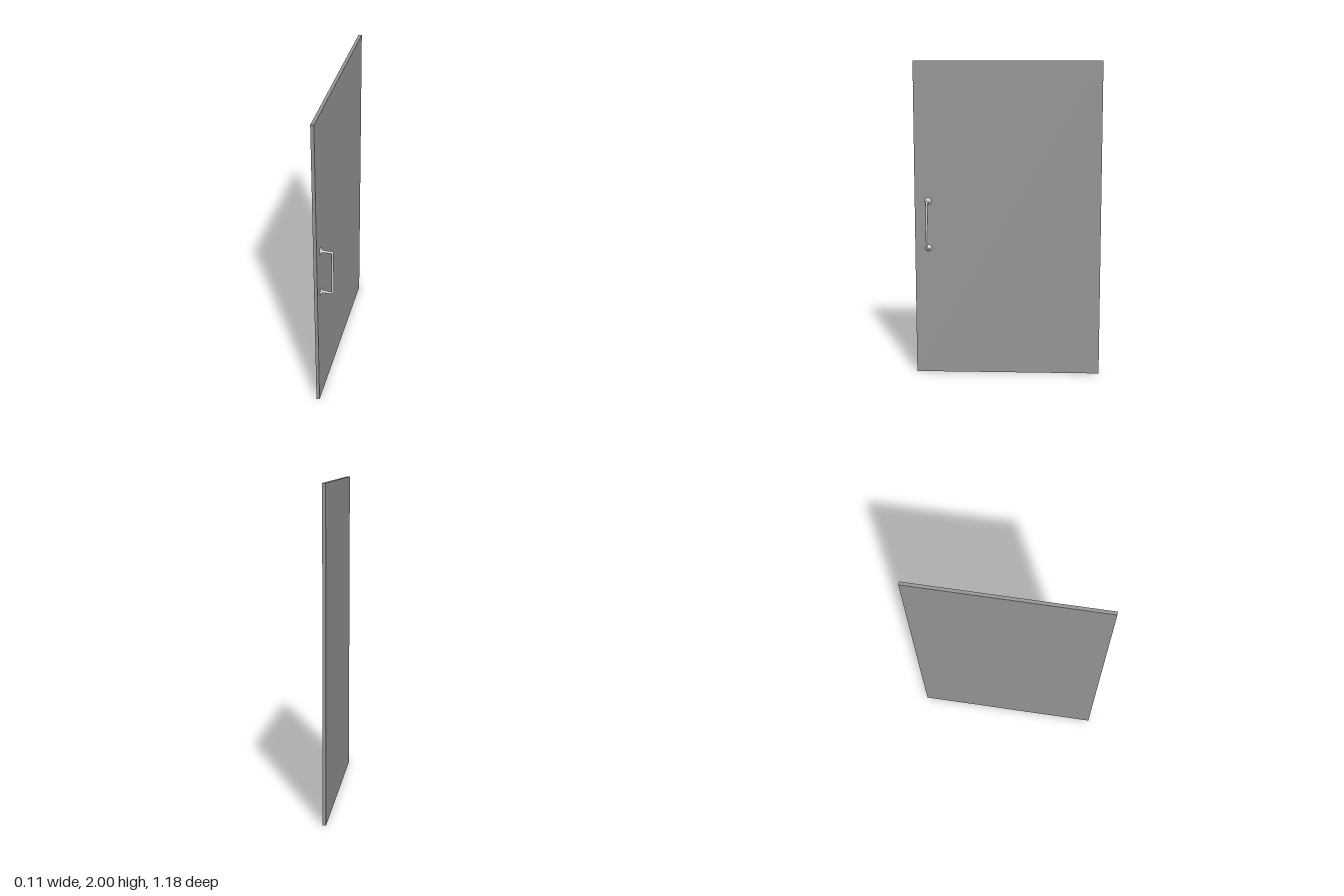
import * as THREE from 'three';

const panelMaterial = new THREE.MeshStandardMaterial({ color: 0x979797 });
const handleMaterial = new THREE.MeshStandardMaterial({ color: 0xc0c0c0 });

function addMesh(parent, name, geometry, material) {
  const mesh = new THREE.Mesh(geometry, material);
  mesh.name = name;
  parent.add(mesh);
  return mesh;
}

// U-shaped pull: two straight arms, an upright grip and tight rounded corners
function handlePath(face, reach, bottom, top, bend) {
  const p = (x, y) => new THREE.Vector3(x, y, 0);
  const path = new THREE.CurvePath();
  path.add(new THREE.LineCurve3(p(face, bottom), p(reach - bend, bottom)));
  path.add(new THREE.QuadraticBezierCurve3(p(reach - bend, bottom), p(reach, bottom), p(reach, bottom + bend)));
  path.add(new THREE.LineCurve3(p(reach, bottom + bend), p(reach, top - bend)));
  path.add(new THREE.QuadraticBezierCurve3(p(reach, top - bend), p(reach, top), p(reach - bend, top)));
  path.add(new THREE.LineCurve3(p(reach - bend, top), p(face, top)));
  return path;
}

export function createModel() {
  const model = new THREE.Group();
  model.name = 'door';

  // The whole door stands very slightly ajar
  const leaf = new THREE.Group();
  leaf.name = 'doorLeaf';
  leaf.position.x = -0.04;
  leaf.rotation.y = 0.005;
  model.add(leaf);

  const thickness = 0.02, face = thickness / 2;
  const panel = addMesh(leaf, 'doorPanel', new THREE.BoxGeometry(thickness, 2, 1.18), panelMaterial);
  panel.position.y = 1;

  // Pull handle near the front edge
  const handle = new THREE.Group();
  handle.name = 'pullHandle';
  handle.position.z = 0.506;
  leaf.add(handle);

  const bottom = 0.82, top = 1.12;
  addMesh(handle, 'handleBar',
    new THREE.TubeGeometry(handlePath(face, 0.083, bottom, top, 0.009), 160, 0.0075, 16), handleMaterial);

  // Shallow mounting collars that taper into the arms
  const profile = [[0.022, 0], [0.021, 0.003], [0.016, 0.006], [0.01, 0.009], [0.0088, 0.016], [0.0075, 0.034]]
    .map(([r, h]) => new THREE.Vector2(r, h));
  for (const [name, y] of [['lowerCollar', bottom], ['upperCollar', top]]) {
    const collar = addMesh(handle, name, new THREE.LatheGeometry(profile, 24), handleMaterial);
    collar.rotation.z = -Math.PI / 2;
    collar.position.set(face, y, 0);
  }

  return model;
}
